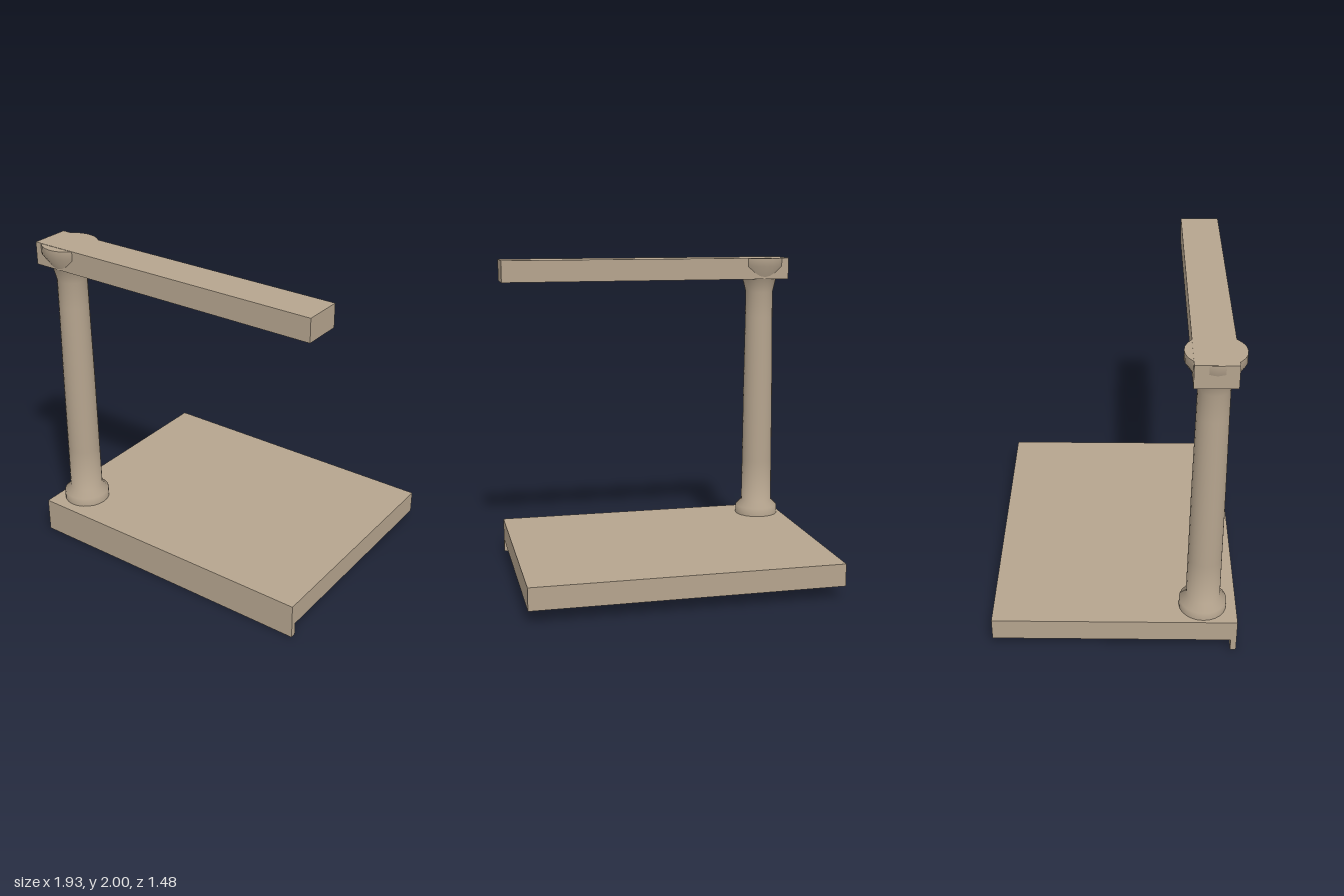
import * as THREE from 'three';
import { toCreasedNormals } from 'three/addons/utils/BufferGeometryUtils.js';

export function createModel() {
  const model = new THREE.Group();
  const stone = new THREE.MeshStandardMaterial({ color: 0xb5a48e });
  stone.name = 'sandstone';

  const add = (name, geometry, x = 0, y = 0, z = 0) => {
    const mesh = new THREE.Mesh(geometry, stone);
    mesh.name = name;
    mesh.position.set(x, y, z);
    model.add(mesh);
  };

  // Floor slab with a lip hanging below its front edge, extruded along x
  const section = new THREE.Shape([
    [-0.74, 0], [-0.705, 0], [-0.705, 0.08], [0.74, 0.08], [0.74, 0.22], [-0.74, 0.22],
  ].map(([a, b]) => new THREE.Vector2(a, b)));
  const slab = new THREE.ExtrudeGeometry(section, { depth: 1.92, bevelEnabled: false });
  slab.translate(0, 0, -0.96).rotateY(Math.PI / 2);
  add('floorSlab', slab);

  // Turned column: foot, tapering shaft, flared capital (radius, height)
  const profile = [
    [0, 0.215], [0.144, 0.215], [0.144, 0.275], [0.104, 0.315],
    [0.102, 0.6], [0.099, 1.1], [0.093, 1.6], [0.092, 1.77],
    [0.114, 1.86], [0.17, 1.945], [0.17, 1.998], [0, 1.998],
  ].map(([r, y]) => new THREE.Vector2(r, y));
  const column = toCreasedNormals(new THREE.LatheGeometry(profile, 24), 0.9);
  add('column', column, -0.796, 0, 0.535);

  // Beam resting across the column
  add('beam', new THREE.BoxGeometry(1.92, 0.14, 0.24), 0, 1.93, 0.532);

  return model;
}
